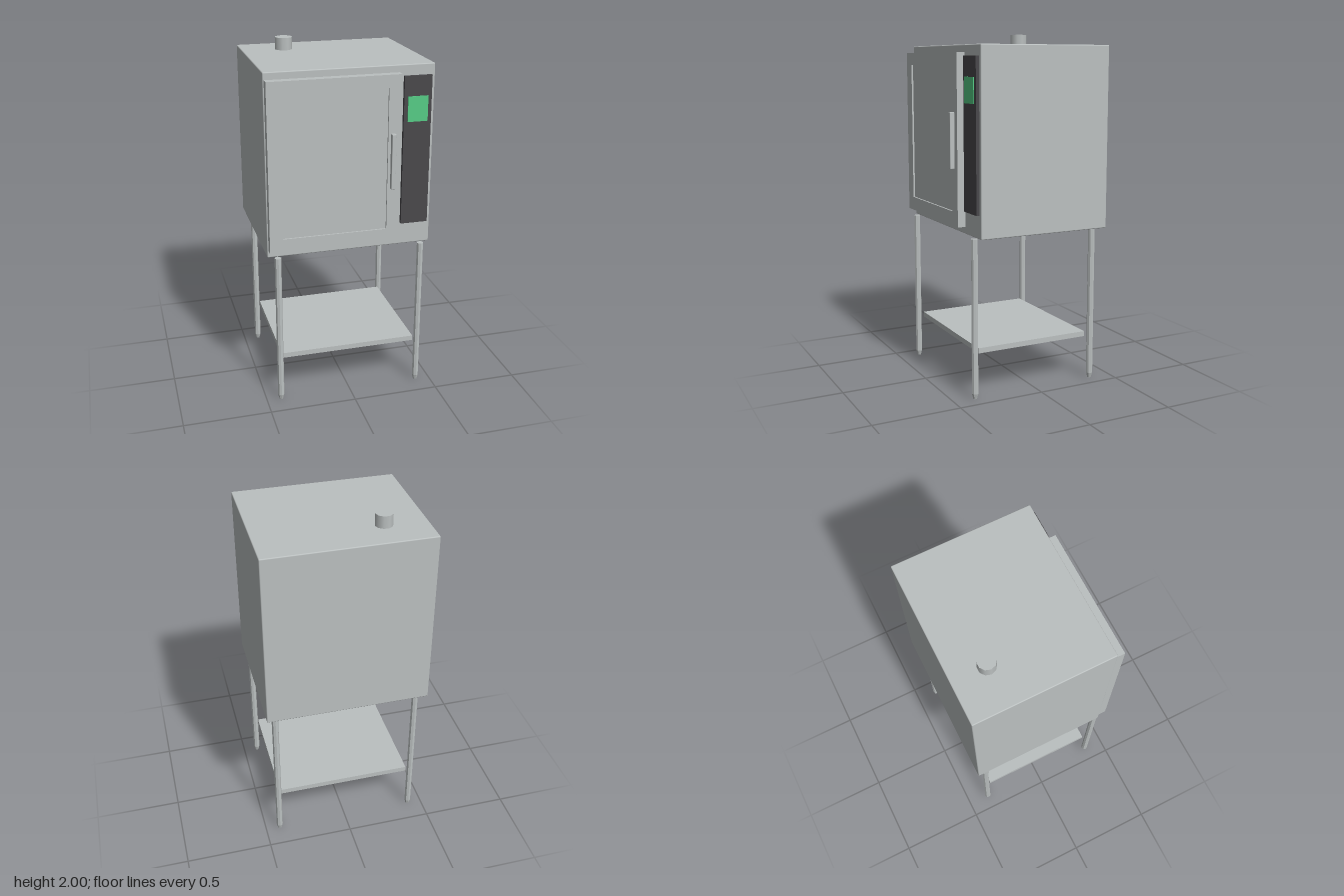
import * as THREE from 'three';
import { RoundedBoxGeometry } from 'three/addons/geometries/RoundedBoxGeometry.js';

function material(name, color) {
  const m = new THREE.MeshStandardMaterial({ color });
  m.name = name;
  return m;
}

export function createModel() {
  const model = new THREE.Group();
  model.name = 'cabinetOven';
  const steel = material('brushed steel', 0xbbc0c0);
  const charcoal = material('charcoal panel', 0x4a494c);
  const green = material('green display', 0x57cd86);

  const add = (name, geometry, mat, parent = model) => {
    const mesh = new THREE.Mesh(geometry, mat);
    mesh.name = name;
    parent.add(mesh);
    return mesh;
  };

  // Box given by its extents on each axis, with an optional chamfer
  const box = (name, [x0, x1], [y0, y1], [z0, z1], mat, parent, bevel = 0) => {
    const size = [x1 - x0, y1 - y0, z1 - z0];
    const geometry = bevel
      ? new RoundedBoxGeometry(...size, 2, bevel)
      : new THREE.BoxGeometry(...size);
    const mesh = add(name, geometry, mat, parent);
    mesh.position.set((x0 + x1) / 2, (y0 + y1) / 2, (z0 + z1) / 2);
    return mesh;
  };

  // Cabinet
  box('cabinet', [-0.47, 0.47], [0.9, 1.93], [-0.433, 0.358], steel, model, 0.006);

  // Exhaust flue on the roof
  const flue = add('flue', new THREE.CylinderGeometry(0.05, 0.05, 0.075, 10), steel);
  flue.rotation.y = Math.PI / 2;
  flue.position.set(-0.23, 1.9625, -0.235);

  // Door: rails and stiles around a slightly recessed panel
  const door = new THREE.Group();
  door.name = 'door';
  model.add(door);
  const depth = [0.357, 0.405];
  box('topRail', [-0.463, 0.27], [1.82, 1.89], depth, steel, door);
  box('bottomRail', [-0.463, 0.27], [0.94, 1.02], depth, steel, door);
  box('hingeStile', [-0.463, -0.39], [1.02, 1.82], depth, steel, door);
  box('handleStile', [0.198, 0.27], [1.02, 1.82], depth, steel, door);
  box('doorPanel', [-0.39, 0.198], [1.02, 1.82], [0.357, 0.395], steel, door);
  box('doorHandle', [0.213, 0.237], [1.26, 1.57], [0.405, 0.432], steel, door, 0.003);

  // Control panel with its display
  box('controlPanel', [0.293, 0.449], [1.03, 1.87], [0.357, 0.377], charcoal);
  box('display', [0.314, 0.428], [1.62, 1.76], [0.376, 0.382], green);

  // Stand: four tubular legs with tapered feet, and a shelf
  const legProfile = [[0, 0], [0.011, 0], [0.019, 0.03], [0.019, 0.9], [0, 0.9]]
    .map(([r, y]) => new THREE.Vector2(r, y));
  const legGeometry = new THREE.LatheGeometry(legProfile, 8).toNonIndexed();
  legGeometry.computeVertexNormals();
  for (const x of [-0.415, 0.415]) {
    for (const z of [-0.37, 0.374]) {
      const side = x > 0 ? 'Left' : 'Right';
      const leg = add((z > 0 ? 'front' : 'back') + side + 'Leg', legGeometry, steel);
      leg.position.set(x, 0, z);
    }
  }
  box('shelf', [-0.4, 0.4], [0.25, 0.28], [-0.34, 0.345], steel);

  return model;
}
